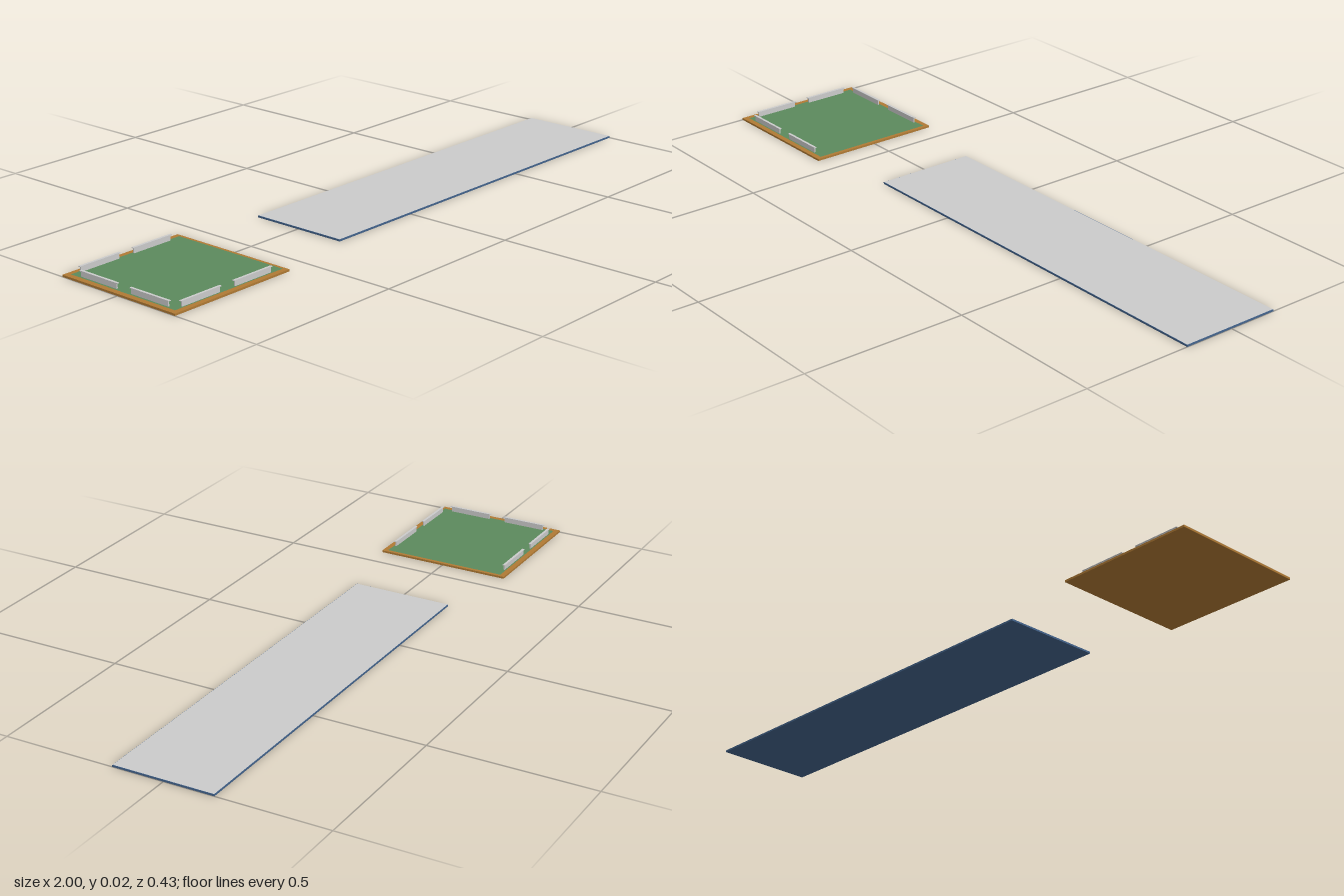
import * as THREE from 'three';

const BOARD_X = -0.787, TOP = 0.006;

const paint = (color) => new THREE.MeshStandardMaterial({ color });

function box(name, size, pos, material) {
  const mesh = new THREE.Mesh(new THREE.BoxGeometry(...size), material);
  mesh.name = name;
  mesh.position.set(...pos);
  return mesh;
}

// Flat upward-facing sheet
function sheet(name, w, d, pos, material) {
  const mesh = new THREE.Mesh(new THREE.PlaneGeometry(w, d).rotateX(-Math.PI / 2), material);
  mesh.name = name;
  mesh.position.set(...pos);
  return mesh;
}

// T-section rail running along x: upright web with a thin flange on top
function makeRail(name, x, z, turn, material) {
  const rail = new THREE.Group();
  rail.name = name;
  rail.add(
    box('railWeb', [0.138, 0.016, 0.004], [0, TOP + 0.008, 0], material),
    box('railFlange', [0.146, 0.002, 0.008], [0, TOP + 0.017, 0], material)
  );
  rail.position.set(x, 0, z);
  rail.rotation.y = turn;
  return rail;
}

export function createModel() {
  const model = new THREE.Group();
  model.name = 'boardAndPanel';
  const grey = paint(0xcccccc), wood = paint(0xb07a34);
  const green = paint(0x5c8a5d), navy = paint(0x44648c);

  // Square wooden board with a green surface
  const board = new THREE.Group();
  board.name = 'board';
  board.add(
    box('boardBase', [0.426, TOP, 0.428], [BOARD_X, TOP / 2, 0], wood),
    sheet('boardSurface', 0.4, 0.396, [BOARD_X + 0.003, TOP + 0.0005, 0], green)
  );

  // Pairs of rails along front, back and right edges
  for (const offset of [-0.096, 0.097]) {
    for (const z of [-0.192, 0.192]) {
      board.add(makeRail(z > 0 ? 'frontRail' : 'backRail', -0.79 + offset, z, 0, grey));
    }
    board.add(makeRail('sideRail', -0.976, offset + 0.001, Math.PI / 2, grey));
  }
  model.add(board);

  // Long flat panel: navy body with a grey top
  const panel = new THREE.Group();
  panel.name = 'panel';
  panel.add(
    box('panelBase', [1.31, 0.0055, 0.314], [0.345, 0.00275, 0.002], navy),
    sheet('panelTop', 1.308, 0.312, [0.345, 0.006, 0.002], grey)
  );
  model.add(panel);

  return model;
}
